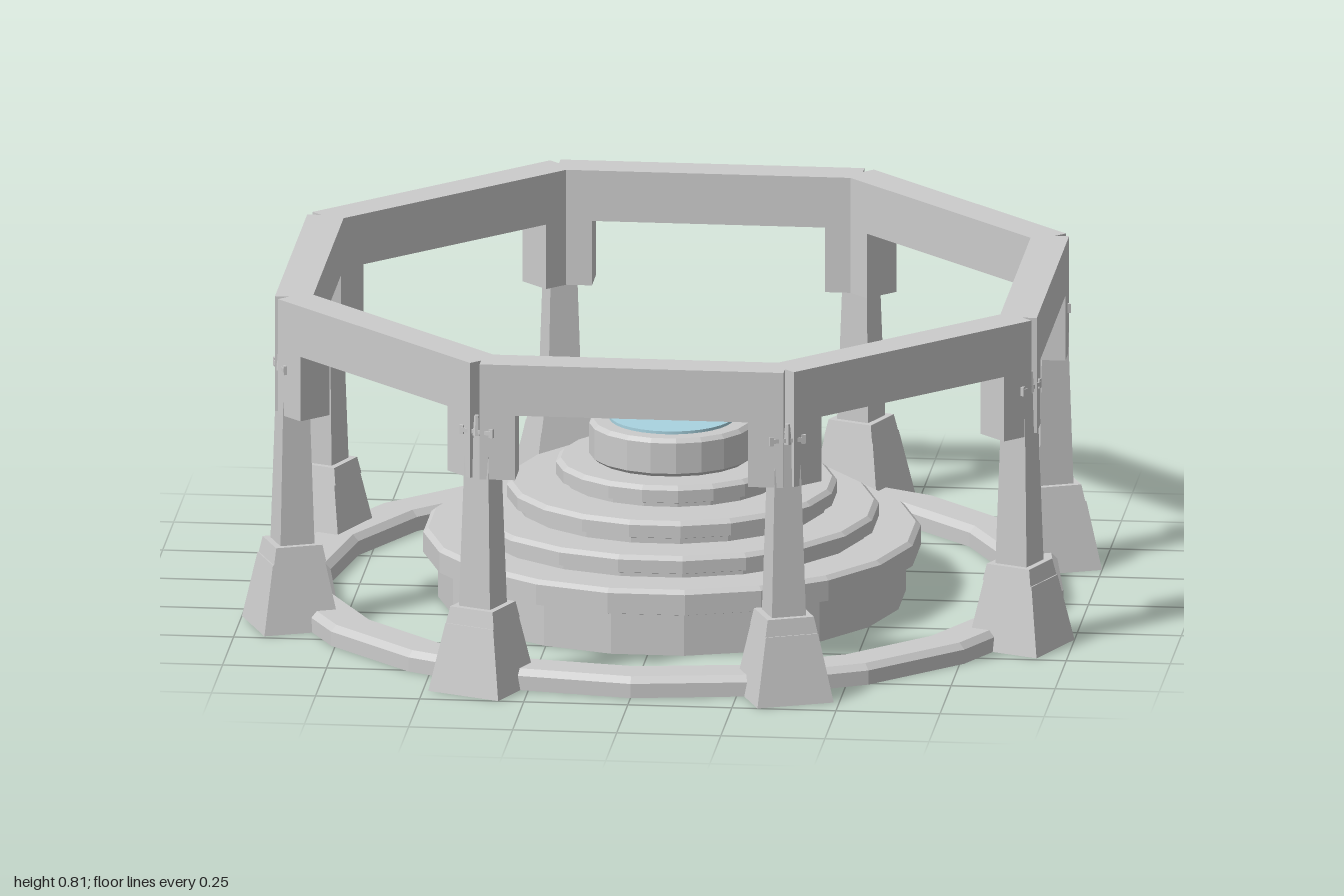
import * as THREE from 'three';

const stone = new THREE.MeshStandardMaterial({ color: 0xcccccc, flatShading: true });
const water = new THREE.MeshStandardMaterial({ color: 0xa9d3e0 });

function add(parent, name, geometry, material = stone) {
  const mesh = new THREE.Mesh(geometry, material);
  mesh.name = name;
  parent.add(mesh);
  return mesh;
}

// Square block that narrows from width w0 at y0 to width w1 at y1
function taper(w0, w1, y0, y1) {
  return new THREE.CylinderGeometry(w1 * Math.SQRT1_2, w0 * Math.SQRT1_2, y1 - y0, 4)
    .rotateY(Math.PI / 4)
    .translate(0, (y0 + y1) / 2, 0);
}

// 20-sided turned form from [radius, height] pairs
function turned(pairs, phase = 0) {
  return new THREE.LatheGeometry(pairs.map(([r, y]) => new THREE.Vector2(r, y)), 20, phase);
}

function createColumn() {
  const column = new THREE.Group();
  column.name = 'column';
  const r = 0.945;
  add(column, 'foot', taper(0.19, 0.13, 0, 0.165)).position.z = r + 0.003;
  add(column, 'footCollar', taper(0.13, 0.115, 0.165, 0.205)).position.z = r;
  add(column, 'shaft', taper(0.085, 0.06, 0.2, 0.66)).position.z = r;
  // Small clamp tying the two neighbouring beams together
  const clamp = new THREE.Group();
  clamp.name = 'clamp';
  clamp.position.set(0, 0.64, 0.975);
  add(clamp, 'clampBar', new THREE.BoxGeometry(0.085, 0.01, 0.012));
  add(clamp, 'clampPin', new THREE.CylinderGeometry(0.006, 0.01, 0.05, 6)).position.y = 0.015;
  for (const s of [-1, 1]) {
    add(clamp, 'clampEnd', new THREE.BoxGeometry(0.01, 0.022, 0.03)).position.set(s * 0.04, 0, -0.01);
  }
  column.add(clamp);
  return column;
}

// Straight beam with a tab hanging from each end
function beamGeometry() {
  const h = 0.365, t = 0.28;
  const outline = [[-h, 0.525], [-t, 0.525], [-t, 0.685], [t, 0.685], [t, 0.525], [h, 0.525], [h, 0.81], [-h, 0.81]];
  const shape = new THREE.Shape(outline.map(([x, y]) => new THREE.Vector2(x, y)));
  return new THREE.ExtrudeGeometry(shape, { depth: 0.09, bevelEnabled: false }).translate(0, 0, 0.825);
}

export function createModel() {
  const model = new THREE.Group();
  model.name = 'pavilionWithPool';

  // Ground ring under the columns
  add(model, 'groundRing', turned([[0.82, 0], [0.94, 0], [0.94, 0.035], [0.925, 0.05], [0.835, 0.05], [0.82, 0.035], [0.82, 0]]));

  // Stepped dais, hollow underneath, each step with a bevelled lip
  const profile = [[0, 0.1], [0.42, 0.1], [0.42, 0], [0.56, 0], [0.56, 0.1]];
  const steps = [
    [0.595, 0.11, 0.17],
    [0.495, 0.185, 0.226],
    [0.395, 0.245, 0.285],
    [0.278, 0.3, 0.34],
  ];
  steps.forEach(([r, low, high], i) => {
    if (i > 0) profile.push([r - 0.02, steps[i - 1][2]], [r - 0.02, low - 0.006]);
    profile.push([r, low], [r, high - 0.01], [r - 0.012, high]);
  });
  profile.push([0.185, 0.34], [0.198, 0.35], [0.198, 0.425], [0.188, 0.435], [0, 0.435]);
  add(model, 'steppedDais', turned(profile, Math.PI / 20));

  // Pool surface on top
  add(model, 'poolWater', new THREE.CylinderGeometry(0.15, 0.15, 0.01, 32), water).position.y = 0.437;

  // Eight beams with a column at every corner
  const beam = beamGeometry();
  for (let i = 0; i < 8; i++) {
    add(model, 'beam', beam).rotation.y = i * Math.PI / 4;
    const column = createColumn();
    column.rotation.y = (i + 0.5) * Math.PI / 4;
    model.add(column);
  }
  return model;
}
